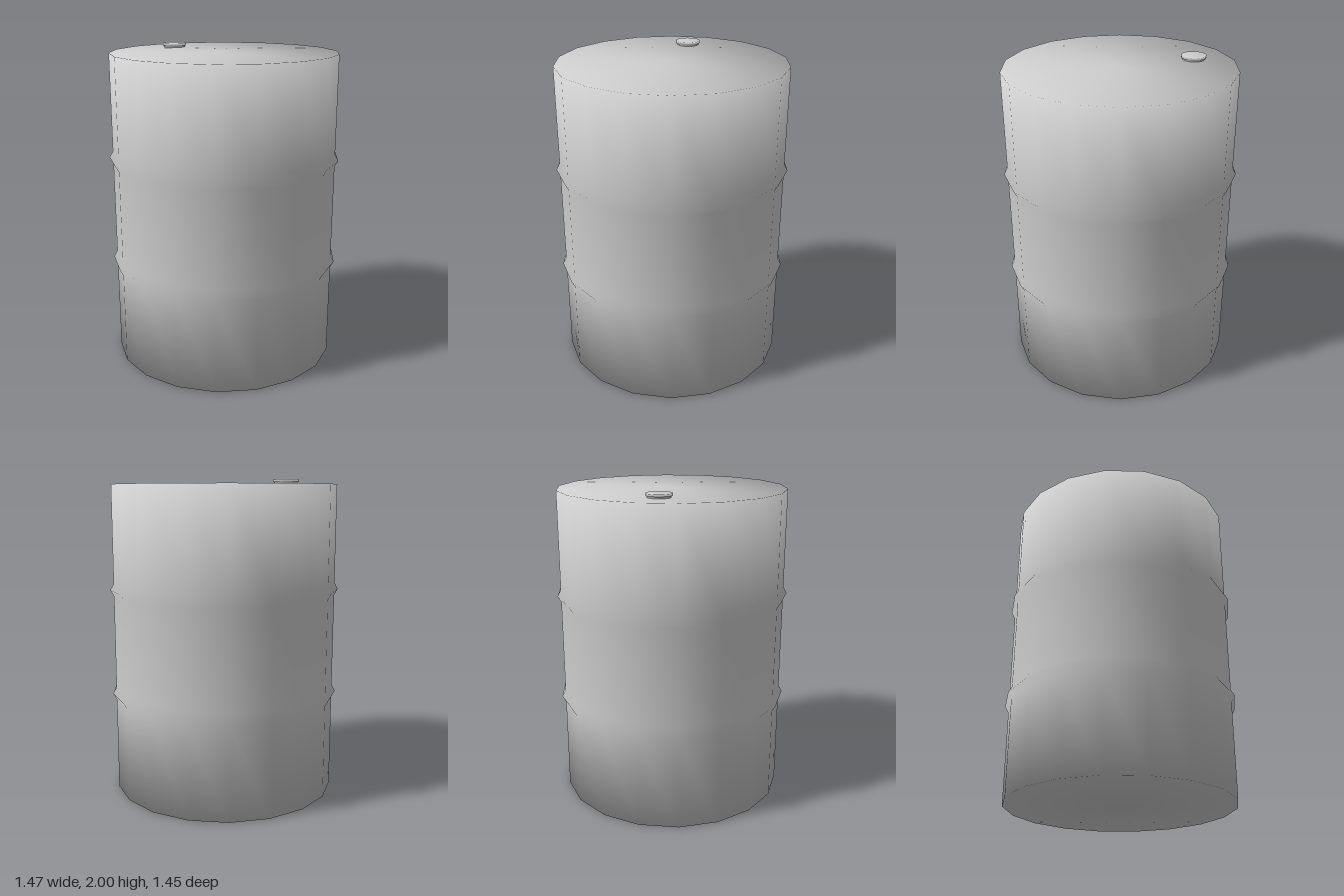
import * as THREE from 'three';

const material = new THREE.MeshStandardMaterial({ color: 0xcccccc });

// Solid of revolution with smooth normals; profile runs bottom to top as [radius, y]
function turned(name, profile, sides) {
  const points = profile.map(([r, y]) => new THREE.Vector2(r, y));
  // Starting at a quarter turn puts a corner on the x axis
  const mesh = new THREE.Mesh(new THREE.LatheGeometry(points, sides, Math.PI / 2), material);
  mesh.name = name;
  return mesh;
}

export function createModel() {
  const group = new THREE.Group();
  group.name = 'barrel';

  const radius = 0.715, hoopRadius = 0.737, top = 1.975;

  // Drum: flat base, straight wall with two raised hoops, flat lid
  const profile = [[0, 0], [radius, 0]];
  for (const y of [0.64, 1.317]) {
    profile.push([radius, y - 0.04], [hoopRadius, y], [radius, y + 0.04]);
  }
  profile.push([radius, top], [0, top]);
  group.add(turned('drum', profile, 18));

  // Filler cap: small disc on the lid, with a slightly narrower neck below it
  const cap = turned('fillerCap', [[0.07, 0], [0.07, 0.01], [0.077, 0.01], [0.077, 0.025], [0, 0.025]], 32);
  cap.position.set(-0.468, top, -0.1);
  group.add(cap);

  return group;
}
